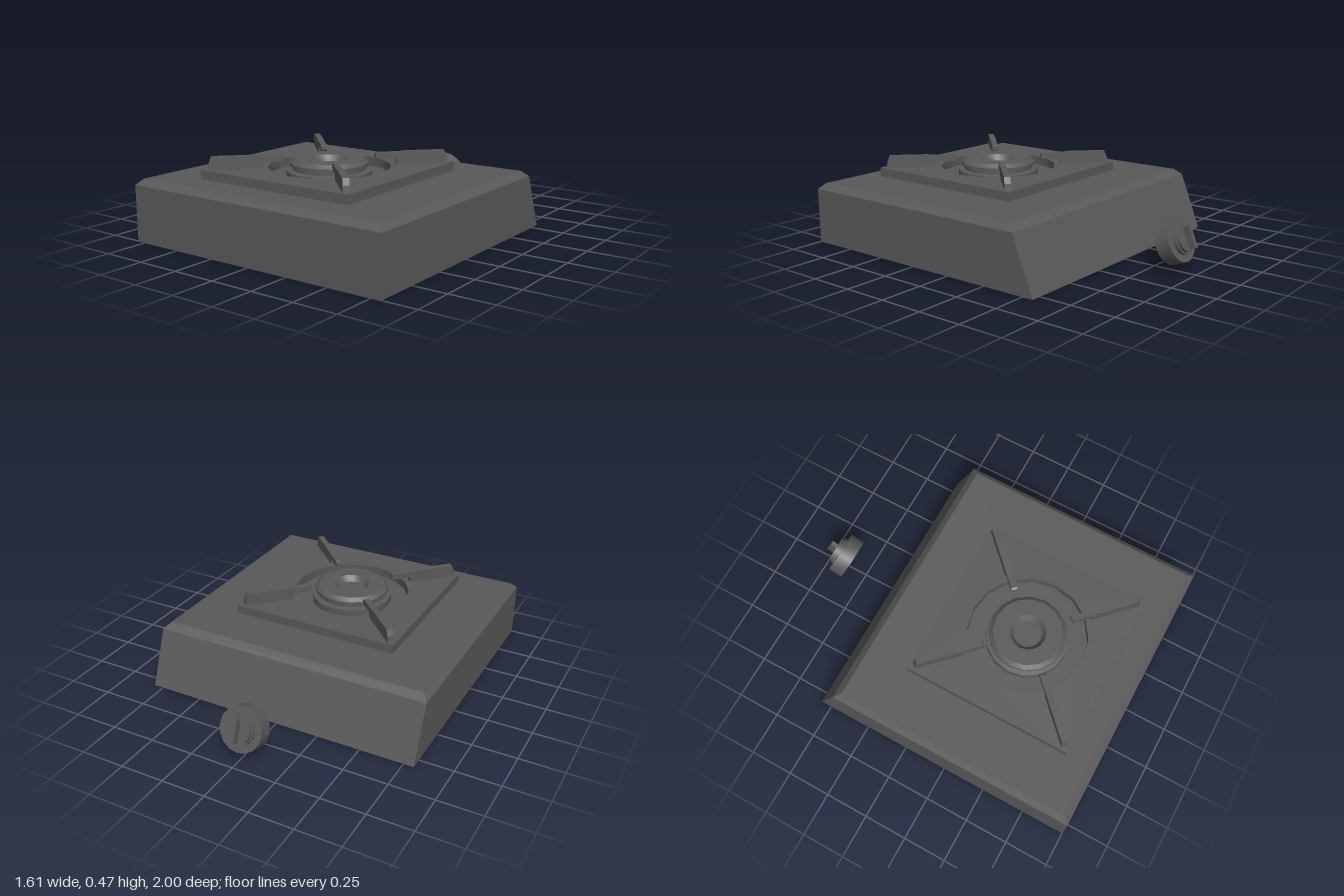
import * as THREE from 'three';
import { toCreasedNormals } from 'three/addons/utils/BufferGeometryUtils.js';

const steel = new THREE.MeshStandardMaterial({ color: 0x595959, side: THREE.DoubleSide });
steel.name = 'darkGrey';

function part(name, geometry, parent, crease = 0.5) {
  const mesh = new THREE.Mesh(toCreasedNormals(geometry, crease), steel);
  mesh.name = name;
  parent.add(mesh);
  return mesh;
}

const points = (list) => list.map(([x, y]) => new THREE.Vector2(x, y));

// Rectangular rings joined into a shell, closed on top and open below.
function shell(rings) {
  const pos = [];
  const index = [];
  for (const { x, y, back, front } of rings) {
    pos.push(-x, y, front, x, y, front, x, y, back, -x, y, back);
  }
  for (let r = 0; r < rings.length - 1; r++) {
    for (let i = 0; i < 4; i++) {
      const a = r * 4 + i, b = r * 4 + (i + 1) % 4;
      index.push(a, b, b + 4, a, b + 4, a + 4);
    }
  }
  const t = (rings.length - 1) * 4;
  index.push(t, t + 1, t + 2, t, t + 2, t + 3);
  const g = new THREE.BufferGeometry();
  g.setAttribute('position', new THREE.Float32BufferAttribute(pos, 3));
  g.setIndex(index);
  return g;
}

export function createModel() {
  const model = new THREE.Group();
  model.name = 'gasStove';

  // Hollow housing with sloped control face and bevelled top
  part('housing', shell([
    { x: 0.807, y: 0, back: -0.565, front: 1 },
    { x: 0.807, y: 0.313, back: -0.44, front: 1 },
    { x: 0.773, y: 0.346, back: -0.4, front: 0.965 },
  ]), model, 0.1);

  // Cooking area, centred on the burner
  const hob = new THREE.Group();
  hob.name = 'hob';
  hob.position.z = 0.338;
  model.add(hob);

  // Square plate with a round opening
  const s = 0.487;
  const plate = new THREE.Shape(points([[-s, -s], [s, -s], [s, s], [-s, s]]));
  const ring = [];
  for (let i = 0; i < 16; i++) {
    const a = -i * Math.PI / 8;
    ring.push([0.335 * Math.cos(a), 0.335 * Math.sin(a)]);
  }
  plate.holes.push(new THREE.Path(points(ring)));
  const plateGeo = new THREE.ExtrudeGeometry(plate, { depth: 0.05, bevelEnabled: false });
  plateGeo.rotateX(-Math.PI / 2).translate(0, 0.355, 0);
  part('hobPlate', plateGeo, hob);

  // Burner base, neck and cap with a central well
  part('burner', new THREE.LatheGeometry(points([
    [0.233, 0.347], [0.233, 0.385], [0.2, 0.39], [0.2, 0.41], [0.215, 0.412],
    [0.215, 0.428], [0.192, 0.448], [0.102, 0.448], [0.077, 0.415], [0, 0.415],
  ]), 16), hob);

  // Four diagonal pan supports with stepped inner tips
  const arm = new THREE.Shape(points([
    [0.363, 0.405], [0.65, 0.405], [0.646, 0.44], [0.632, 0.475], [0.42, 0.475],
    [0.38, 0.471], [0.262, 0.471], [0.25, 0.464], [0.25, 0.444], [0.262, 0.437], [0.363, 0.437],
  ]));
  for (let i = 0; i < 4; i++) {
    const g = new THREE.ExtrudeGeometry(arm, { depth: 0.034, bevelEnabled: false });
    g.translate(0, 0, -0.017);
    part('panSupport', g, hob, 0.2).rotation.y = Math.PI / 4 + i * Math.PI / 2;
  }

  // Hollow control knob set off the sloped face
  const knob = new THREE.Group();
  knob.name = 'controlKnob';
  knob.position.set(0, 0.147, -0.829);
  knob.rotation.x = -Math.PI / 2 + 0.367;
  model.add(knob);
  part('knobBody', new THREE.LatheGeometry(points([
    [0.124, 0], [0.124, 0.083], [0.084, 0.083], [0.084, 0.1], [0.074, 0.1],
    [0.074, 0.118], [0, 0.118],
  ]), 16), knob);
  part('knobGrip', new THREE.BoxGeometry(0.024, 0.05, 0.122), knob).position.y = 0.131;

  return model;
}
